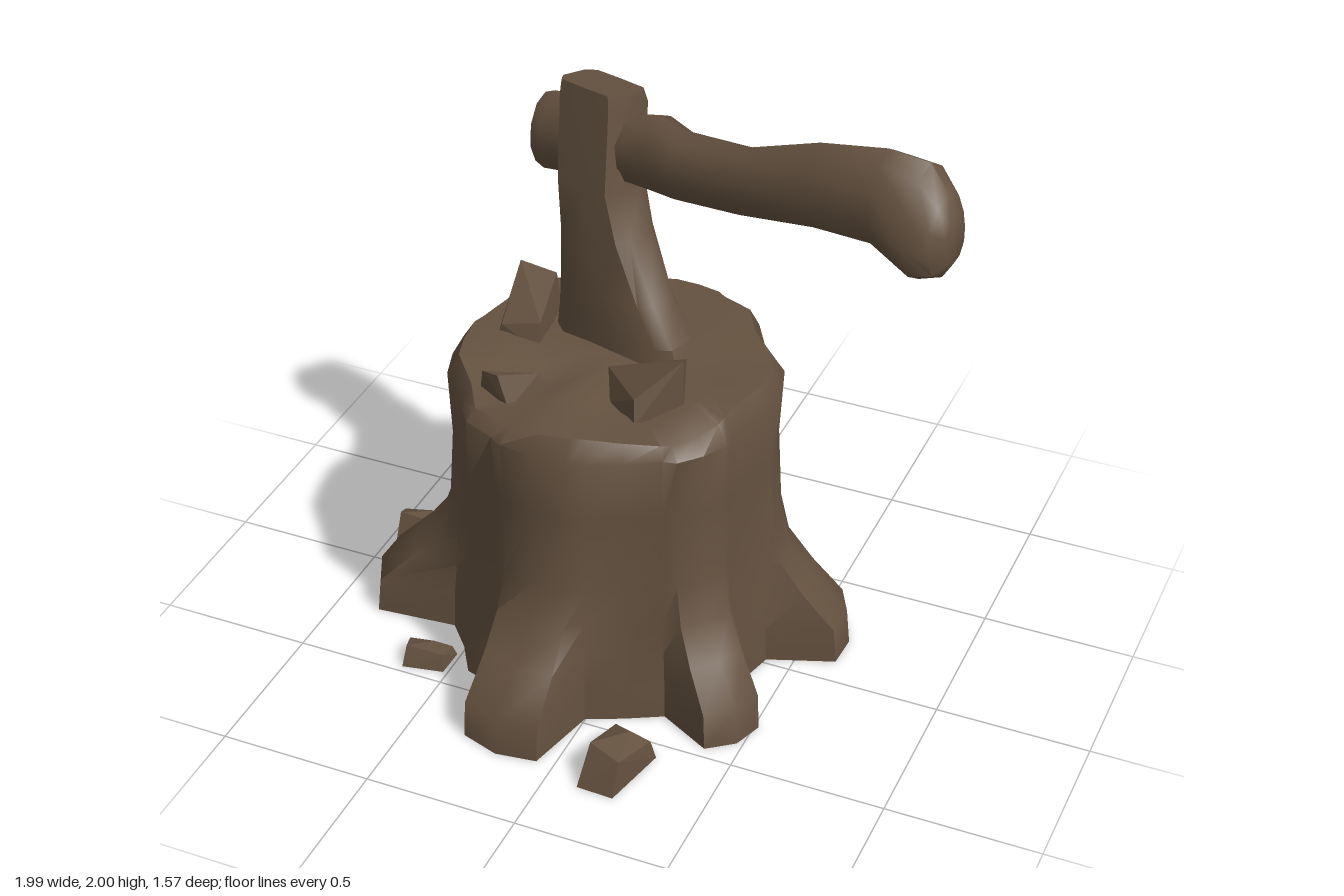
import * as THREE from 'three';
import { toCreasedNormals } from 'three/addons/utils/BufferGeometryUtils.js';
import { ConvexGeometry } from 'three/addons/geometries/ConvexGeometry.js';

const V = (x, y, z) => new THREE.Vector3(x, y, z);

// Skins a list of equal-sized point rings and closes both ends.
function loft(rings, crease) {
  const n = rings[0].length, pos = [], idx = [];
  const add = (p) => pos.push(p.x, p.y, p.z) / 3 - 1;
  const ids = rings.map((r) => r.map(add));
  for (let i = 0; i < rings.length - 1; i++) {
    for (let j = 0; j < n; j++) {
      const k = (j + 1) % n;
      const [a, b, c, d] = [ids[i][j], ids[i][k], ids[i + 1][k], ids[i + 1][j]];
      idx.push(a, b, c, a, c, d);
    }
  }
  const centre = (r) => r.reduce((s, p) => s.add(p), V(0, 0, 0)).divideScalar(n);
  const last = rings.length - 1;
  const c0 = add(centre(rings[0])), c1 = add(centre(rings[last]));
  for (let j = 0; j < n; j++) {
    const k = (j + 1) % n;
    idx.push(c0, ids[0][k], ids[0][j], c1, ids[last][j], ids[last][k]);
  }
  const g = new THREE.BufferGeometry();
  g.setAttribute('position', new THREE.Float32BufferAttribute(pos, 3));
  g.setIndex(idx);
  return toCreasedNormals(g, crease);
}

export function createModel() {
  const model = new THREE.Group();
  const wood = new THREE.MeshStandardMaterial({ color: 0x655240 });
  wood.name = 'brownWood';
  const part = (name, geometry) => {
    const m = new THREE.Mesh(geometry, wood);
    m.name = name;
    model.add(m);
  };
  let seed = 11;
  const rnd = () => (seed = (seed * 16807) % 2147483647) / 2147483647;

  // Stump columns around the trunk: five for each root, bark columns between.
  const cx = -0.12, cz = -0.04;
  const roots = [ // tip x, tip z, half width
    [0.63, -0.21, 0.11], [0.01, -0.79, 0.1], [-0.44, -0.76, 0.085], [-0.79, -0.46, 0.09],
    [-0.91, 0.13, 0.125], [-0.19, 0.74, 0.13], [0.48, 0.4, 0.1],
  ].map(([x, z, w]) => ({
    a: (Math.atan2(cz - z, x - cx) + Math.PI * 2) % (Math.PI * 2),
    len: Math.hypot(x - cx, z - cz), w,
  }));
  const columns = [];
  roots.forEach((r, i) => {
    const spread = r.w * 2.4;
    for (const s of [-1, -0.7, 0, 0.7, 1]) {
      const root = Math.abs(s) < 1 ? r : null;
      columns.push({ a: r.a + s * spread, root, side: s / 0.7, R: root ? 0.515 : 0.505 });
    }
    const next = roots[(i + 1) % roots.length];
    const from = r.a + spread;
    const to = next.a + (i === roots.length - 1 ? Math.PI * 2 : 0) - next.w * 2.4;
    const count = Math.max(1, Math.round((to - from) / 0.2) - 1);
    for (let k = 1; k <= count; k++) {
      const groove = k % 2 ? 0.485 : 0.515;
      columns.push({ a: from + ((to - from) * k) / (count + 1), root: null, R: groove + rnd() * 0.02 });
    }
  });

  // Stump levels: height, root reach, trunk scale
  const levels = [
    [0.005, 1, 1.06], [0.13, 0.95, 1.05], [0.25, 0.49, 1.03], [0.37, 0.17, 1.01], [0.5, 0.06, 1],
    [0.75, 0, 0.99], [0.97, 0, 1.015], [1.04, 0, 0.94], [1.04, 0, 0.72], [1.03, 0, 0.45], [1.03, 0, 0.2],
  ];
  const stump = levels.map(([y, reach, scale], li) => columns.map((c) => {
    const dx = Math.cos(c.a), dz = -Math.sin(c.a);
    const R = (li > 7 ? 0.505 : c.R) * scale + (li > 2 && li < 7 ? (rnd() - 0.5) * 0.012 : 0);
    const p = V(cx + dx * R, y, cz + dz * R);
    if (c.root && reach > 0) {
      const { a, len, w } = c.root;
      const out = len - (c.side ? 0.03 : 0);
      const tx = cx + Math.cos(a) * out - Math.sin(a) * c.side * w;
      const tz = cz - Math.sin(a) * out - Math.cos(a) * c.side * w;
      p.x += (tx - p.x) * reach;
      p.z += (tz - p.z) * reach;
    }
    // Worn top: gentle dips, deeper towards the front
    if (li > 6 && li < 10) p.y -= (dz > 0.1 ? 0.035 : 0.01) * (0.5 + 0.5 * Math.sin(c.a * 5 + li * 0.8));
    return p;
  }));
  part('stump', loft(stump, 0.85));

  // Axe axes: u runs along the handle, p across it
  const yaw = 0.27;
  const u = V(Math.cos(yaw), 0, Math.sin(yaw)), p = V(-Math.sin(yaw), 0, Math.cos(yaw));

  // Axe head: y, centre x, centre z, half length, half thickness
  const outline = [
    [1, -0.6], [1, 0.6], [0.8, 1], [0, 1.03], [-0.8, 1], [-1, 0.6], [-1, -0.6], [-0.8, -1], [0, -1.03], [0.8, -1],
  ];
  const head = [
    [0.98, -0.12, -0.13, 0.25, 0.075], [1.1, -0.13, -0.138, 0.225, 0.078], [1.22, -0.165, -0.155, 0.185, 0.08],
    [1.4, -0.215, -0.195, 0.136, 0.09], [1.55, -0.245, -0.222, 0.116, 0.095], [1.8, -0.247, -0.255, 0.118, 0.095],
    [1.85, -0.25, -0.252, 0.112, 0.085],
  ].map(([y, x, z, l, t]) => outline.map(([a, b]) =>
    V(x, y - (y > 1.7 ? b * 0.02 : 0), z).addScaledVector(u, a * l).addScaledVector(p, -b * t)));
  part('axeHead', loft(head, 0.9));

  // Handle with a swollen, drooping grip: x, y, z, half height, half width, end slant
  const handle = [
    [-0.455, 1.645, -0.27, 0.115, 0.07, 0.01], [-0.42, 1.645, -0.265, 0.13, 0.08, 0.01],
    [-0.12, 1.675, -0.21, 0.118, 0.08, 0], [-0.03, 1.695, -0.18, 0.13, 0.085, 0],
    [0.06, 1.69, -0.145, 0.117, 0.076, 0], [0.3, 1.735, -0.06, 0.115, 0.07, 0],
    [0.54, 1.822, 0.02, 0.122, 0.07, 0.02], [0.76, 1.86, 0.07, 0.14, 0.085, 0.02],
    [0.89, 1.823, 0.09, 0.162, 0.103, 0.03], [0.955, 1.795, 0.1, 0.125, 0.09, 0.01], [0.985, 1.79, 0.105, 0.075, 0.05, 0],
  ].map(([x, y, z, h, w, slant]) => Array.from({ length: 10 }, (_, i) => {
    const c = Math.cos((i / 10) * Math.PI * 2), s = Math.sin((i / 10) * Math.PI * 2);
    return V(x, y + c * h, z - c * slant * 1.5).addScaledVector(p, s * w).addScaledVector(u, c * slant * -0.2);
  }));
  part('axeHandle', loft(handle, 0.9));

  // Splinters raised around the blade
  const hull = (name, pts) => part(name, new ConvexGeometry(pts.map((q) => V(...q))));
  hull('rightSplinter', [
    [-0.09, 1.0, 0.07], [-0.09, 1.07, 0.08], [0.15, 1.0, 0.05], [0.16, 1.15, 0.06], [0.18, 1.0, 0.13],
    [0.18, 1.19, 0.13], [0.07, 1.0, 0.25], [0.06, 1.08, 0.23], [-0.05, 1.0, 0.16],
  ]);
  hull('leftSplinter', [
    [-0.51, 1.0, -0.25], [-0.53, 1.17, -0.23], [-0.39, 1.0, -0.24], [-0.4, 1.16, -0.22], [-0.52, 1.0, -0.02],
    [-0.5, 1.06, -0.02], [-0.36, 1.0, 0.0], [-0.37, 1.09, -0.03],
  ]);
  hull('frontSplinter', [
    [-0.44, 1.0, 0.26], [-0.42, 1.09, 0.28], [-0.36, 1.1, 0.3], [-0.32, 0.99, 0.31], [-0.25, 1.0, 0.19],
    [-0.27, 1.07, 0.2], [-0.36, 1.0, 0.17],
  ]);

  // Wood chips lying on the ground: centre, length x, height, length z, turn
  [
    [-0.86, -0.15, 0.26, 0.14, 0.14, 0.1], [-0.59, 0.41, 0.17, 0.07, 0.115, 0.15], [0.185, 0.655, 0.15, 0.14, 0.27, -0.15],
  ].forEach(([x, z, l, h, w, turn], i) => {
    const g = new ConvexGeometry([
      [-0.5, 0, -0.35], [-0.4, 0, 0.5], [0.4, 0, 0.45], [0.5, 0, -0.4], [0.2, 0, -0.5],
      [-0.42, 0.6, -0.35], [-0.35, 0.95, 0.25], [0.1, 0.85, -0.2], [0.38, 0.8, 0.3], [0.42, 0.5, -0.35],
    ].map(([a, b, c]) => V(a * l, b * h + 0.005, c * w)));
    g.rotateY(turn);
    g.translate(x, 0, z);
    part('woodChip' + (i + 1), g);
  });
  return model;
}
